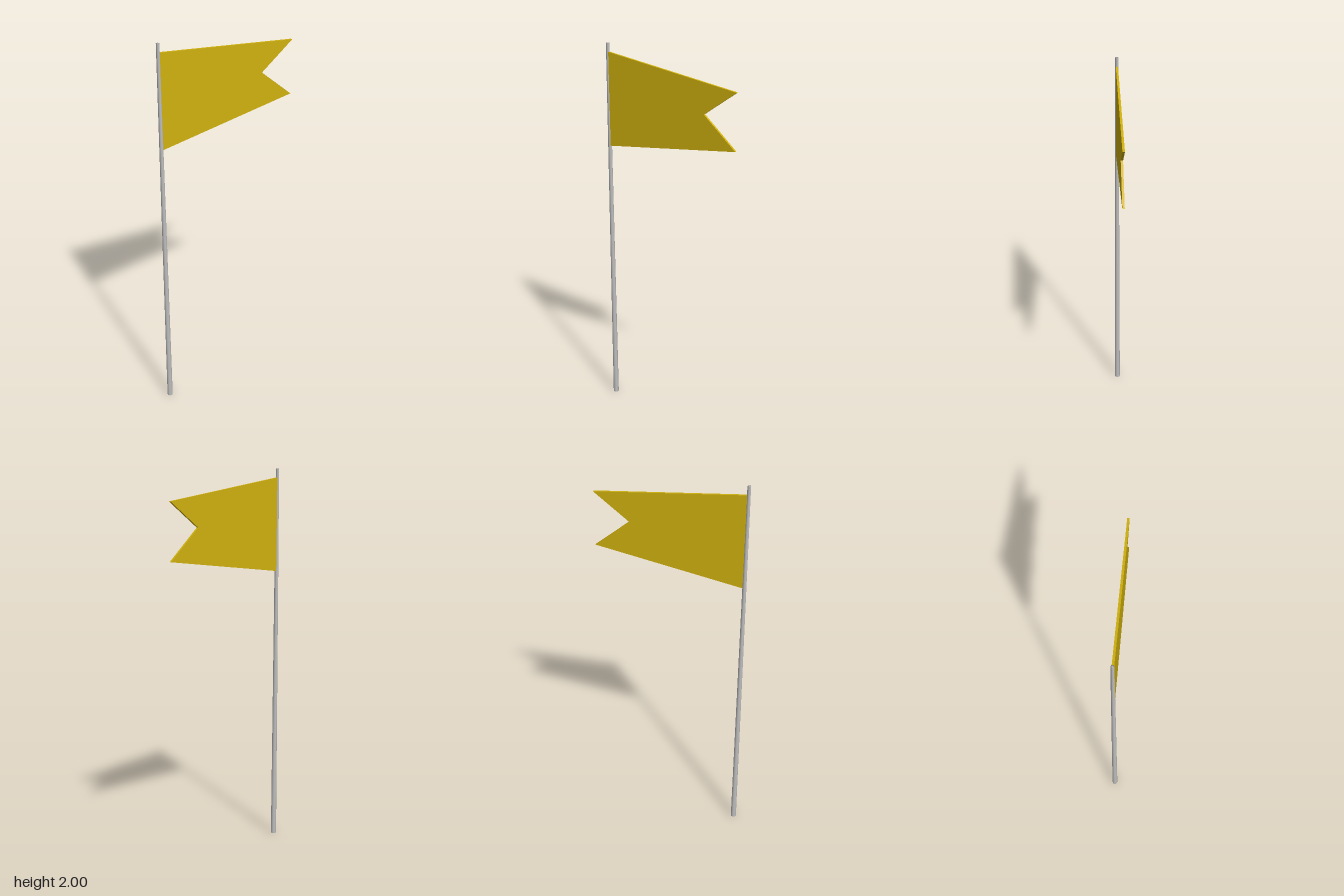
import * as THREE from 'three';
import { mergeVertices } from 'three/addons/utils/BufferGeometryUtils.js';

export function createModel() {
  const model = new THREE.Group();
  model.name = 'pennantOnPole';

  const metal = new THREE.MeshStandardMaterial({ name: 'pale grey metal', color: 0xbfbfbf });
  const cloth = new THREE.MeshStandardMaterial({ name: 'golden cloth', color: 0xd1b20e });

  // Tapered eight-sided pole, with normals smoothed over the end caps
  const height = 2;
  let poleGeometry = new THREE.CylinderGeometry(0.0085, 0.0145, height, 8);
  poleGeometry.deleteAttribute('normal');
  poleGeometry.deleteAttribute('uv');
  poleGeometry = mergeVertices(poleGeometry, 1e-5);
  poleGeometry.computeVertexNormals();
  const pole = new THREE.Mesh(poleGeometry, metal);
  pole.name = 'pole';
  pole.position.set(-0.37, height / 2, 0);
  model.add(pole);

  // Swallow-tailed flag, narrowing away from the pole
  const outline = new THREE.Shape([
    [-0.364, 1.472],
    [0.384, 1.584],
    [0.205, 1.735],
    [0.384, 1.868],
    [-0.364, 1.956],
  ].map(([x, y]) => new THREE.Vector2(x, y)));
  const thickness = 0.011;
  const flagGeometry = new THREE.ExtrudeGeometry(outline, { depth: thickness, bevelEnabled: false });
  flagGeometry.translate(0, 0, -thickness / 2);
  const flag = new THREE.Mesh(flagGeometry, cloth);
  flag.name = 'flag';
  model.add(flag);

  return model;
}
